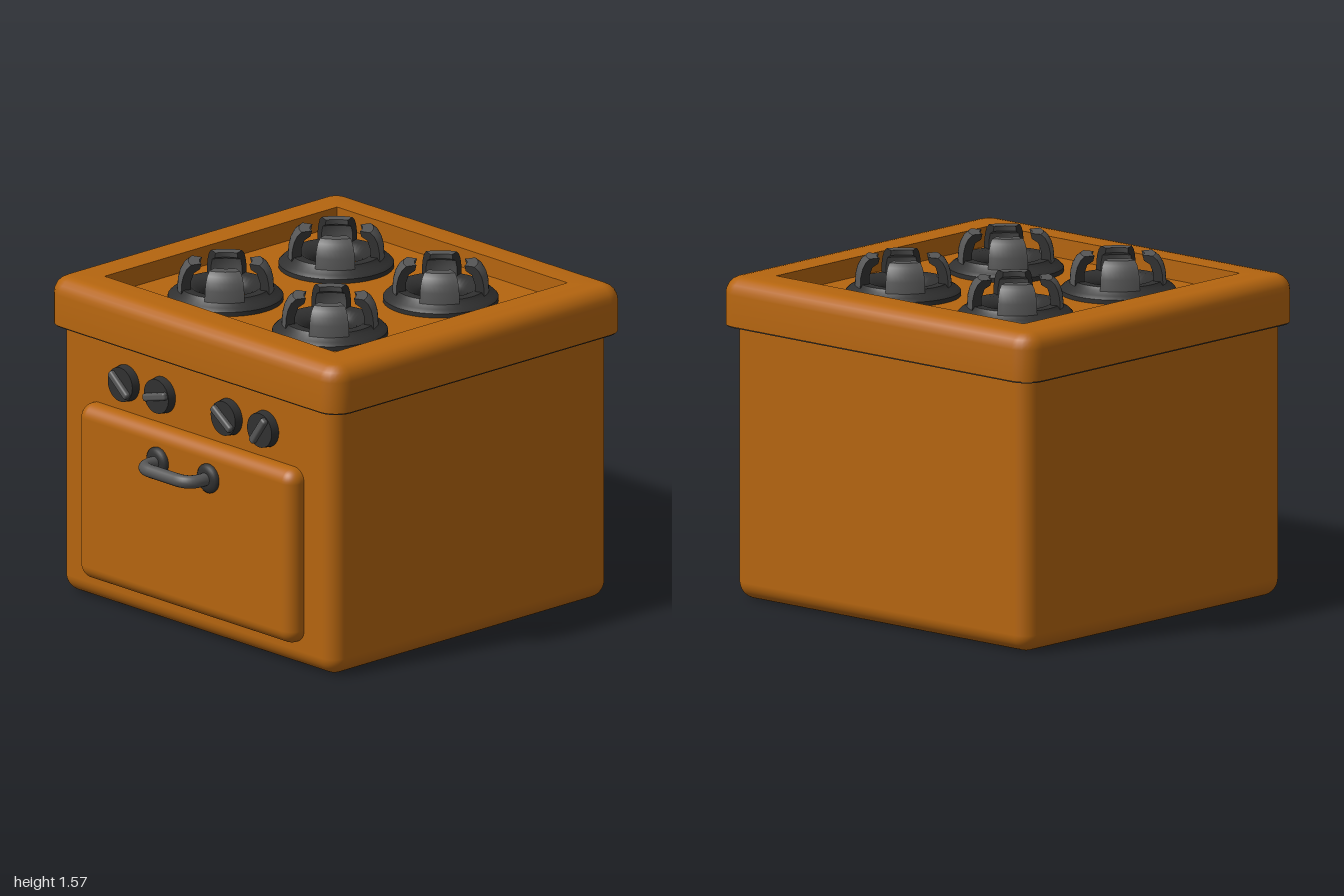
import * as THREE from 'three';
import { toCreasedNormals } from 'three/addons/utils/BufferGeometryUtils.js';
import { RoundedBoxGeometry } from 'three/addons/geometries/RoundedBoxGeometry.js';

const enamel = new THREE.MeshStandardMaterial({ color: 0xb5650f });
enamel.name = 'orange enamel';
const iron = new THREE.MeshStandardMaterial({ color: 0x303030, side: THREE.DoubleSide });
iron.name = 'dark iron';
const steel = new THREE.MeshStandardMaterial({ color: 0x565656, side: THREE.DoubleSide });
steel.name = 'grey steel';

function add(parent, name, geometry, material, x = 0, y = 0, z = 0) {
  const mesh = new THREE.Mesh(geometry, material);
  mesh.name = name;
  mesh.position.set(x, y, z);
  parent.add(mesh);
  return mesh;
}

// Skin through rounded rectangles, each given as [halfX, halfZ, cornerRadius, y]
function loft(loops, closeEnd) {
  const steps = 6, pos = [], index = [];
  const count = 4 * (steps + 1);
  for (const [hx, hz, r, y] of loops) {
    for (let q = 0; q < 4; q++) {
      const sx = q === 0 || q === 3 ? 1 : -1, sz = q < 2 ? 1 : -1;
      for (let s = 0; s <= steps; s++) {
        const a = (q + s / steps) * Math.PI / 2;
        pos.push(sx * (hx - r) + r * Math.cos(a), y, sz * (hz - r) + r * Math.sin(a));
      }
    }
  }
  for (let j = 0; j < loops.length - 1; j++) {
    for (let i = 0; i < count; i++) {
      const n = (i + 1) % count;
      const a = j * count + i, b = j * count + n, c = a + count, d = b + count;
      index.push(a, c, b, b, c, d);
    }
  }
  if (closeEnd) {
    const last = (loops.length - 1) * count, centre = pos.length / 3;
    pos.push(0, loops[loops.length - 1][3], 0);
    for (let i = 0; i < count; i++) index.push(last + i, centre, last + (i + 1) % count);
  }
  const g = new THREE.BufferGeometry();
  g.setAttribute('position', new THREE.Float32BufferAttribute(pos, 3));
  g.setIndex(index);
  return toCreasedNormals(g, 0.6);
}

const points = (list) => list.map(([x, y]) => new THREE.Vector2(x, y));

// Burner: flared ring carrying four arched prongs on the diagonals
function makeBurner() {
  const burner = new THREE.Group();
  burner.name = 'burner';
  const ring = new THREE.LatheGeometry(points([
    [0.26, 0], [0.26, 0.02], [0.245, 0.035], [0.215, 0.05], [0.205, 0.065],
    [0.16, 0.065], [0.12, 0.04], [0.11, 0.02], [0.11, 0],
  ]), 40);
  add(burner, 'burnerRing', toCreasedNormals(ring, 0.6), iron);

  const profile = points([
    [0.17, 0.04], [0.218, 0.04], [0.214, 0.1], [0.205, 0.135], [0.19, 0.162],
    [0.168, 0.18], [0.118, 0.18], [0.125, 0.155], [0.155, 0.14], [0.17, 0.1],
  ]);
  const span = 0.85;
  const arch = toCreasedNormals(
    new THREE.LatheGeometry([...profile, profile[0]], 8, -span / 2, span), 0.6);
  const cap = new THREE.ShapeGeometry(new THREE.Shape(profile));
  for (let k = 0; k < 4; k++) {
    const prong = new THREE.Group();
    prong.name = 'prong';
    prong.rotation.y = (k + 0.5) * Math.PI / 2;
    burner.add(prong);
    add(prong, 'prongArch', arch, steel);
    for (const s of [-1, 1]) {
      add(prong, 'prongEnd', cap, iron).rotation.y = s * span / 2 - Math.PI / 2;
    }
  }
  return burner;
}

// Knob: short disc with a turned grip bar
function makeKnob(angle) {
  const knob = new THREE.Group();
  knob.name = 'knob';
  const disc = new THREE.CylinderGeometry(0.08, 0.085, 0.04, 32);
  disc.rotateX(Math.PI / 2);
  add(knob, 'knobDisc', disc, iron, 0, 0, 0.02);
  const grip = new RoundedBoxGeometry(0.15, 0.036, 0.05, 3, 0.012);
  add(knob, 'knobGrip', grip, steel, 0, 0, 0.037);
  knob.rotation.z = angle * Math.PI / 180;
  return knob;
}

function makeHandle() {
  const handle = new THREE.Group();
  handle.name = 'doorHandle';
  const w = 0.165, reach = 0.12, r = 0.08;
  const v = (x, z) => new THREE.Vector3(x, 0, z);
  const path = new THREE.CurvePath();
  path.add(new THREE.LineCurve3(v(-w, 0), v(-w, reach - r)));
  path.add(new THREE.QuadraticBezierCurve3(v(-w, reach - r), v(-w, reach), v(r - w, reach)));
  path.add(new THREE.LineCurve3(v(r - w, reach), v(w - r, reach)));
  path.add(new THREE.QuadraticBezierCurve3(v(w - r, reach), v(w, reach), v(w, reach - r)));
  path.add(new THREE.LineCurve3(v(w, reach - r), v(w, 0)));
  add(handle, 'handleBar', new THREE.TubeGeometry(path, 48, 0.03, 16), steel);
  const mount = new THREE.LatheGeometry(points([
    [0.068, -0.01], [0.068, 0.008], [0.058, 0.018], [0.04, 0.024], [0, 0.026],
  ]), 32);
  mount.rotateX(Math.PI / 2);
  for (const s of [-1, 1]) add(handle, 'handleMount', mount, iron, s * w, 0, 0);
  return handle;
}

export function createModel() {
  const stove = new THREE.Group();
  stove.name = 'stove';
  const midZ = -0.095;

  // Oven body and door
  add(stove, 'body', new RoundedBoxGeometry(1.79, 1.35, 1.72, 5, 0.08), enamel, 0, 0.675, -0.09);
  add(stove, 'door', new RoundedBoxGeometry(1.405, 0.825, 0.14, 5, 0.065), enamel, 0, 0.533, 0.78);

  // Hob with rounded upper edge and sunken floor
  const hx = 0.945, hz = 0.905, round = 0.075, top = 1.48;
  const loops = [[hx - 0.08, hz - 0.08, 0.04, 1.26], [hx, hz, 0.1, 1.26]];
  for (let i = 0; i <= 5; i++) {
    const a = i / 5 * Math.PI / 2, inset = round * (1 - Math.cos(a));
    loops.push([hx - inset, hz - inset, 0.1 - inset, top - round + round * Math.sin(a)]);
  }
  loops.push([0.75, 0.72, 0.002, top], [0.75, 0.72, 0.002, 1.39]);
  add(stove, 'hob', loft(loops, true), enamel, 0, 0, midZ);

  // Dark seal under the overhang
  const seal = loft([[0.87, 0.84, 0.05, 1.254], [hx - 0.006, hz - 0.006, 0.095, 1.254],
    [hx - 0.006, hz - 0.006, 0.095, 1.262]], false);
  add(stove, 'hobSeal', seal, iron, 0, 0, midZ);

  // Burners
  for (const x of [-0.34, 0.34]) {
    for (const z of [-0.42, 0.265]) {
      const burner = makeBurner();
      burner.position.set(x, 1.39, z);
      stove.add(burner);
    }
  }

  // Knobs
  for (const [x, angle] of [[-0.455, -40], [-0.22, 15], [0.215, -35], [0.452, 55]]) {
    const knob = makeKnob(angle);
    knob.position.set(x, 1.08, 0.77);
    stove.add(knob);
  }

  const handle = makeHandle();
  handle.position.set(0, 0.795, 0.85);
  stove.add(handle);
  return stove;
}
